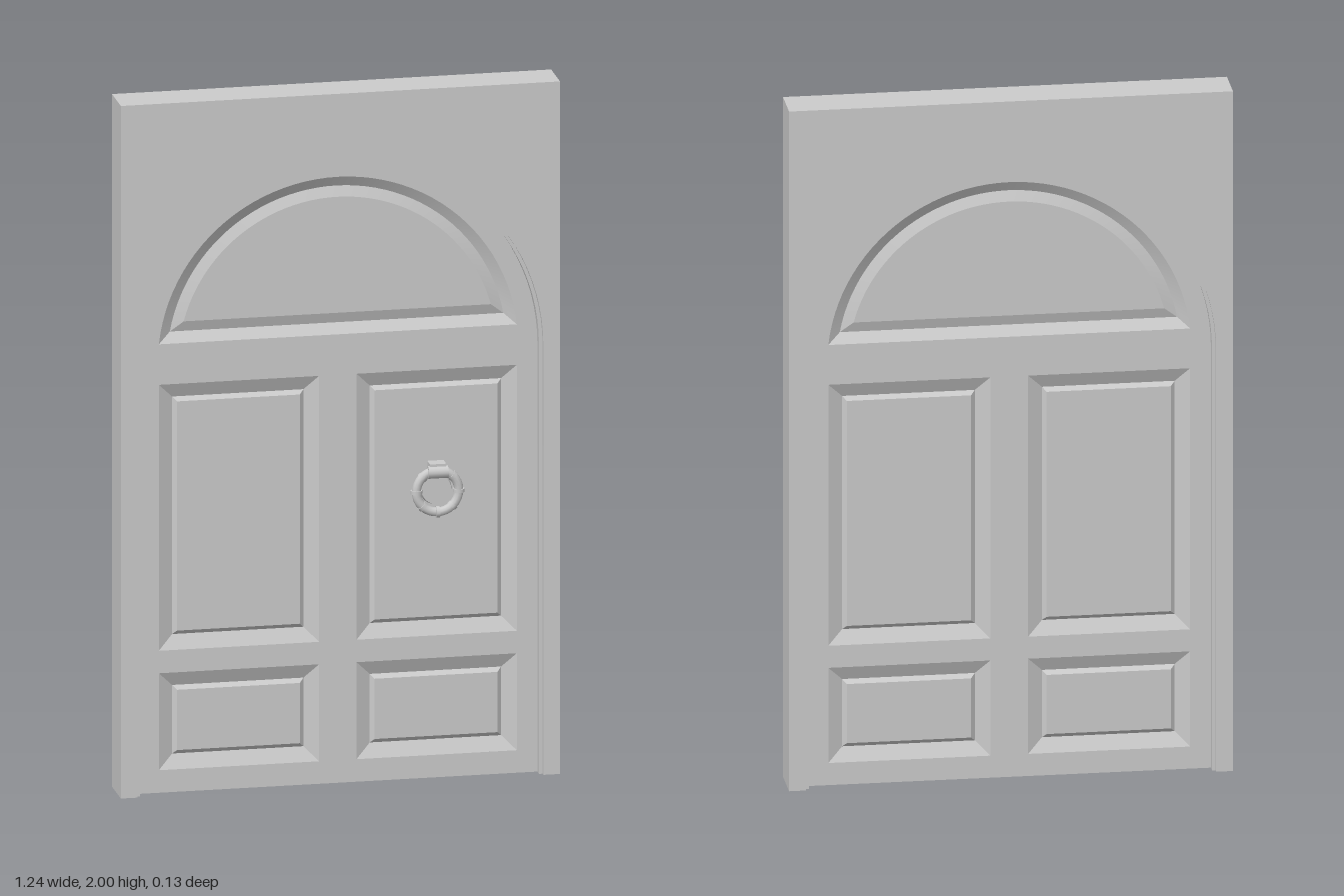
import * as THREE from 'three';
import { toCreasedNormals } from 'three/addons/utils/BufferGeometryUtils.js';

const FRONT = 0.058, BACK = -0.065, INSET = 0.036; // wall faces and door setback
const HALF_W = 0.622, SPRING = 1.24, SEG = 48;
const material = new THREE.MeshStandardMaterial({ color: 0xcccccc });

function add(parent, name, geometry, x = 0, y = 0, z = 0) {
  const mesh = new THREE.Mesh(geometry, material);
  mesh.name = name;
  mesh.position.set(x, y, z);
  parent.add(mesh);
  return mesh;
}

// Counter-clockwise half-round outline cut off by a level base
function archLoop(radius, base) {
  const a = Math.asin((base - SPRING) / radius), pts = [];
  for (let i = 0; i <= SEG; i++) {
    const t = a + (Math.PI - 2 * a) * i / SEG;
    pts.push(new THREE.Vector2(radius * Math.cos(t), SPRING + radius * Math.sin(t)));
  }
  return pts;
}

// Doorway outline: half-round top on straight legs
function doorwayLoop(radius) {
  return [new THREE.Vector2(-radius, 0), new THREE.Vector2(radius, 0), ...archLoop(radius, SPRING)];
}

function rectLoop(x0, y0, x1, y1, t) {
  return [[x0 + t, y0 + t], [x1 - t, y0 + t], [x1 - t, y1 - t], [x0 + t, y1 - t]]
    .map(([x, y]) => new THREE.Vector2(x, y));
}

// Moulding bands between successive inset loops
function moulding(loops, depths) {
  const pos = [];
  for (let k = 0; k + 1 < loops.length; k++) {
    const A = loops[k], B = loops[k + 1], n = A.length;
    for (let i = 0; i < n; i++) {
      const j = (i + 1) % n;
      const a = [A[i].x, A[i].y, depths[k]], b = [A[j].x, A[j].y, depths[k]];
      const c = [B[j].x, B[j].y, depths[k + 1]], d = [B[i].x, B[i].y, depths[k + 1]];
      pos.push(...a, ...b, ...c, ...a, ...c, ...d);
    }
  }
  const g = new THREE.BufferGeometry();
  g.setAttribute('position', new THREE.Float32BufferAttribute(pos, 3));
  return toCreasedNormals(g, 0.4);
}

// One face of the door with its five recessed panels
function doorFace(name) {
  const face = new THREE.Group();
  face.name = name;
  const panels = [];
  for (const [x0, x1] of [[-0.507, -0.053], [0.053, 0.507]])
    for (const [y0, y1] of [[0.065, 0.345], [0.41, 1.178]])
      panels.push({
        name: y1 > 1 ? 'tallPanel' : 'lowPanel',
        loops: [0, 0.041, 0.053].map(t => rectLoop(x0, y0, x1, y1, t)),
        depths: [0, -0.018, -0.008],
      });
  panels.push({
    name: 'archedPanel',
    loops: [0, 0.03, 0.06].map(t => archLoop(0.51 - t, 1.295 + t)),
    depths: [0, -0.018, -0.008],
  });
  const shape = new THREE.Shape(doorwayLoop(0.575));
  for (const p of panels) {
    shape.holes.push(new THREE.Path(p.loops[0]));
    add(face, p.name + 'Moulding', moulding(p.loops, p.depths));
    add(face, p.name, new THREE.ShapeGeometry(new THREE.Shape(p.loops[2])), 0, 0, p.depths[2]);
  }
  add(face, 'rails', new THREE.ShapeGeometry(shape));
  return face;
}

function extrude(shape, depth) {
  return toCreasedNormals(new THREE.ExtrudeGeometry(shape, { depth, bevelEnabled: false }), 0.4);
}

// Arch-shaped band, open at the floor
function archBand(outline, radius) {
  return new THREE.Shape([...outline,
    new THREE.Vector2(radius, 0), ...archLoop(radius, SPRING), new THREE.Vector2(-radius, 0)]);
}

function makeKnocker() {
  const g = new THREE.Group();
  g.name = 'knocker';
  const R = 0.06, ringZ = 0.045;
  // Backplate and hanging ring
  add(g, 'backplate', new THREE.CylinderGeometry(0.042, 0.046, 0.016, 24), 0, 0, 0.02).rotation.x = Math.PI / 2;
  add(g, 'ring', new THREE.TorusGeometry(R, 0.013, 10, 32), 0, 0, ringZ);
  // Collars round the ring
  for (let i = 0; i < 8; i++) {
    if (i === 2) continue;
    const a = i * Math.PI / 4;
    const r = i % 2 ? 0.0145 : 0.0165;
    add(g, 'collar', new THREE.CylinderGeometry(r, r, 0.01, 12),
      R * Math.cos(a), R * Math.sin(a), ringZ).rotation.z = a;
  }
  // Hinge block and roll holding the ring
  add(g, 'hingeMount', new THREE.BoxGeometry(0.046, 0.04, 0.042), 0, 0.06, 0.032);
  add(g, 'hingeRoll', new THREE.CylinderGeometry(0.018, 0.018, 0.056, 14), 0, 0.056, 0.047).rotation.z = Math.PI / 2;
  return g;
}

export function createModel() {
  const model = new THREE.Group();
  model.name = 'archedDoor';
  const v = (x, y) => new THREE.Vector2(x, y);

  // Wall slab around the doorway
  const outline = [v(-0.575, 0), v(-HALF_W, 0), v(-HALF_W, 2), v(HALF_W, 2), v(HALF_W, 0)];
  add(model, 'wall', extrude(archBand(outline, 0.575), FRONT - BACK), 0, 0, BACK);

  // Thin bead lining the doorway, stepped back from the wall faces
  const step = 0.012;
  const beadOutline = [v(-0.575, 0), ...archLoop(0.575, SPRING).reverse(), v(0.575, 0)];
  add(model, 'doorwayBead', extrude(archBand(beadOutline, 0.565), FRONT - BACK - 2 * step), 0, 0, BACK + step);

  // Door leaf, panelled on both sides
  const front = doorFace('doorFront');
  front.position.z = FRONT - INSET;
  const back = doorFace('doorBack');
  back.position.z = BACK + INSET;
  back.rotation.y = Math.PI;
  model.add(front, back);
  const thick = FRONT - BACK - 2 * INSET;
  add(model, 'doorBottom', new THREE.PlaneGeometry(1.15, thick), 0, 0, (FRONT + BACK) / 2).rotation.x = Math.PI / 2;

  // Ring knocker on the front
  const knocker = makeKnocker();
  knocker.position.set(0.278, 0.833, 0);
  model.add(knocker);
  return model;
}
